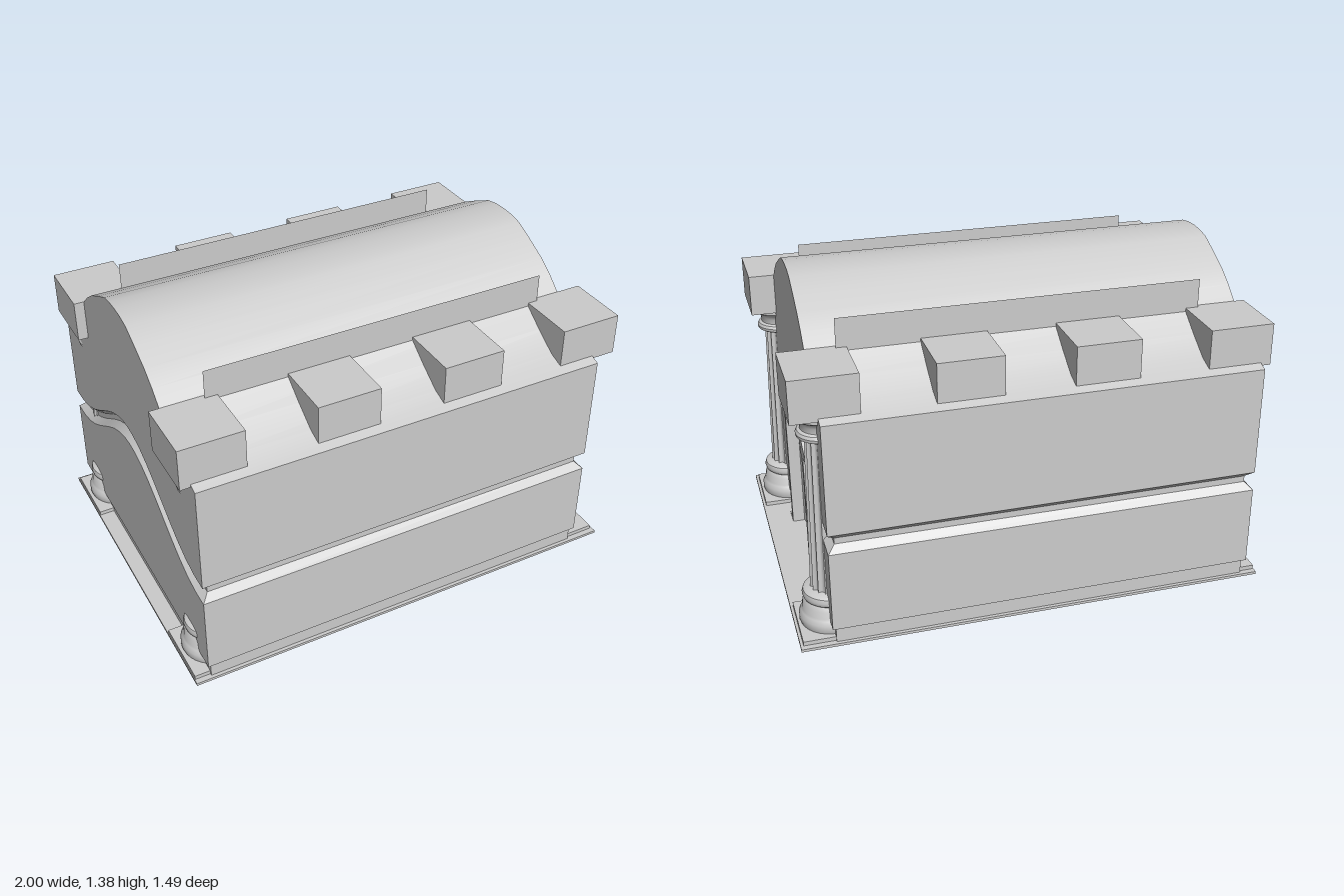
import * as THREE from 'three';
import { toCreasedNormals } from 'three/addons/utils/BufferGeometryUtils.js';

const grey = new THREE.MeshStandardMaterial({ color: 0xcccccc });
const greyThin = new THREE.MeshStandardMaterial({ color: 0xcccccc, side: THREE.DoubleSide });
const X0 = -0.945, X1 = 0.87, ZW = 0.745, DOOR = 0.28;

function add(parent, name, geometry, material = grey) {
  const mesh = new THREE.Mesh(geometry, material);
  mesh.name = name;
  parent.add(mesh);
  return mesh;
}

function box(parent, name, x0, x1, y0, y1, z0, z1) {
  const mesh = add(parent, name, new THREE.BoxGeometry(x1 - x0, y1 - y0, z1 - z0));
  mesh.position.set((x0 + x1) / 2, (y0 + y1) / 2, (z0 + z1) / 2);
  return mesh;
}

// Extrudes a z-y outline along x
function extrudeX(shape, x0, x1, crease = 0.5) {
  const g = new THREE.ExtrudeGeometry(shape, { depth: x1 - x0, bevelEnabled: false, curveSegments: 20 });
  g.rotateY(Math.PI / 2).translate(x0, 0, 0);
  return toCreasedNormals(g, crease);
}

// Walls: rings stacked up, with a groove that swells upward on both end faces
function wallGeometry() {
  const half = [0.745, 0.66, 0.58, 0.5, 0.42, 0.35, 0.28, 0.2, 0.13, 0.06];
  const zs = [...half, 0, ...half.map(z => -z).reverse()];
  const ring = [...zs.map(z => [1, z]), ...zs.map(z => [-1, -z])];
  const bump = z => Math.abs(z) > 0.7 ? 0 : 0.14 * (1 + Math.cos(Math.PI * z / 0.7));
  // height, inset, follows the swell
  const levels = [[0.02, 0.015, 0], [0.09, 0.015, 0], [0.09, 0, 0], [0.44, 0, 1],
    [0.47, 0.03, 1], [0.497, 0.03, 1], [0.525, 0, 1], [1.0, 0, 0]];
  const point = ([side, z], [y, inset, swell]) => [
    side > 0 ? X1 - inset : X0 + inset,
    y + swell * bump(z),
    THREE.MathUtils.clamp(z, inset - ZW, ZW - inset)];
  const pos = [];
  for (let l = 0; l < levels.length - 1; l++) {
    ring.forEach((p, i) => {
      const q = ring[(i + 1) % ring.length];
      const doorway = p[0] > 0 && q[0] > 0 && Math.abs(p[1]) <= DOOR && Math.abs(q[1]) <= DOOR;
      if (doorway) return;
      const a = point(p, levels[l]), b = point(q, levels[l]);
      const c = point(q, levels[l + 1]), d = point(p, levels[l + 1]);
      pos.push(...a, ...b, ...c, ...a, ...c, ...d);
    });
  }
  const g = new THREE.BufferGeometry();
  g.setAttribute('position', new THREE.Float32BufferAttribute(pos, 3));
  return toCreasedNormals(g, 0.4);
}

function archPath() {
  const path = new THREE.Path();
  path.moveTo(-0.25, 0.02);
  path.lineTo(0.25, 0.02);
  path.lineTo(0.25, 0.515);
  path.absarc(0, 0.515, 0.25, 0, Math.PI, false);
  path.lineTo(-0.25, 0.02);
  return path;
}

// Doorway: pierced wall section, raised surround, curved niche and feet
function makeDoorway() {
  const door = new THREE.Group();
  door.name = 'doorway';
  const wall = new THREE.Shape([[-DOOR, 0.01], [DOOR, 0.01], [DOOR, 1], [-DOOR, 1]]
    .map(p => new THREE.Vector2(...p)));
  wall.holes.push(archPath());
  add(door, 'doorWall', extrudeX(wall, 0.76, X1));

  const hood = [[0.28, 0.01], [0.28, 0.63], [0.335, 0.635], [0.335, 0.66], [0.27, 0.695],
    [0.19, 0.745], [0.11, 0.785], [0.05, 0.8]];
  const outline = [...hood, ...hood.map(([z, y]) => [-z, y]).reverse()];
  const surround = new THREE.Shape(outline.map(p => new THREE.Vector2(...p)));
  surround.holes.push(archPath());
  add(door, 'doorSurround', extrudeX(surround, X1 - 0.01, 0.885));

  const arc = 2 * Math.asin(DOOR);
  const niche = add(door, 'doorNiche',
    new THREE.CylinderGeometry(1, 1, 0.77, 16, 1, true, 1.5 * Math.PI - arc / 2, arc), greyThin);
  niche.position.set(1.8, 0.405, 0);
  for (const s of [-1, 1]) {
    box(door, 'doorFoot', 0.74, 0.885, 0, 0.025, s > 0 ? 0.25 : -0.34, s > 0 ? 0.34 : -0.25);
  }
  return door;
}

// Fluted shaft: a tapered cylinder with its radius rippled around the axis
function shaftGeometry() {
  const g = new THREE.CylinderGeometry(0.066, 0.082, 0.7, 96, 1, true);
  const p = g.attributes.position;
  for (let i = 0; i < p.count; i++) {
    const a = Math.atan2(p.getZ(i), p.getX(i));
    const k = 1 - 0.13 * Math.pow(Math.abs(Math.sin(a * 8)), 0.7);
    p.setXYZ(i, p.getX(i) * k, p.getY(i), p.getZ(i) * k);
  }
  return toCreasedNormals(g.translate(0, 0.535, 0), 0.5);
}

function turned(points) {
  const g = new THREE.LatheGeometry(points.map(p => new THREE.Vector2(...p)), 32);
  return toCreasedNormals(g, 0.6);
}

function makeColumn(x, z) {
  const column = new THREE.Group();
  column.name = 'column';
  add(column, 'columnShaft', shaftGeometry());
  add(column, 'columnBase', turned([[0, 0.03], [0.127, 0.03], [0.134, 0.05], [0.134, 0.075], [0.125, 0.092],
    [0.12, 0.1], [0.117, 0.13], [0.105, 0.148], [0.113, 0.155], [0.117, 0.17], [0.112, 0.187], [0.1, 0.195], [0.06, 0.2]]));
  add(column, 'columnCapital', turned([[0.055, 0.875], [0.085, 0.88], [0.096, 0.887], [0.098, 0.9], [0.092, 0.912],
    [0.08, 0.918], [0.081, 0.94], [0.09, 0.958], [0.105, 0.968], [0.113, 0.975], [0.113, 1.0], [0, 1.0]]));
  column.position.set(x, 0, z);
  return column;
}

export function createModel() {
  const model = new THREE.Group();
  model.name = 'vaultedHall';

  box(model, 'groundSlab', -1, 1, 0.008, 0.02, -ZW, ZW);
  add(model, 'walls', wallGeometry());
  model.add(makeDoorway());

  // Vaulted roof with its end gables
  const slope = [[0.745, 1.0], [0.64, 1.035], [0.54, 1.1], [0.43, 1.18], [0.37, 1.232], [0.3, 1.28],
    [0.205, 1.328], [0.12, 1.367], [0.06, 1.378]];
  const profile = [...slope, [0, 1.381], ...slope.map(([z, y]) => [-z, y]).reverse()];
  add(model, 'vaultedRoof', extrudeX(new THREE.Shape(profile.map(p => new THREE.Vector2(...p))), X0, X1));

  for (const s of [-1, 1]) {
    // Thin upright parapet standing on the slope
    const parapet = add(model, 'parapet', new THREE.PlaneGeometry(1.52, 0.15), greyThin);
    parapet.position.set(-0.01, 1.228, s * 0.45);

    // Roof blocks with matching footings below
    for (const x of [-0.852, -0.283, 0.277, 0.843]) {
      box(model, 'roofBlock', x - 0.136, x + 0.136, 1.0, 1.18, s * 0.568 - 0.137, s * 0.568 + 0.137);
      box(model, 'footing', x - 0.145, x + 0.145, 0, 0.038, s * 0.575 - 0.145, s * 0.575 + 0.145);
    }
    model.add(makeColumn(0.845, s * 0.57), makeColumn(-0.852, s * 0.57));
  }
  return model;
}
